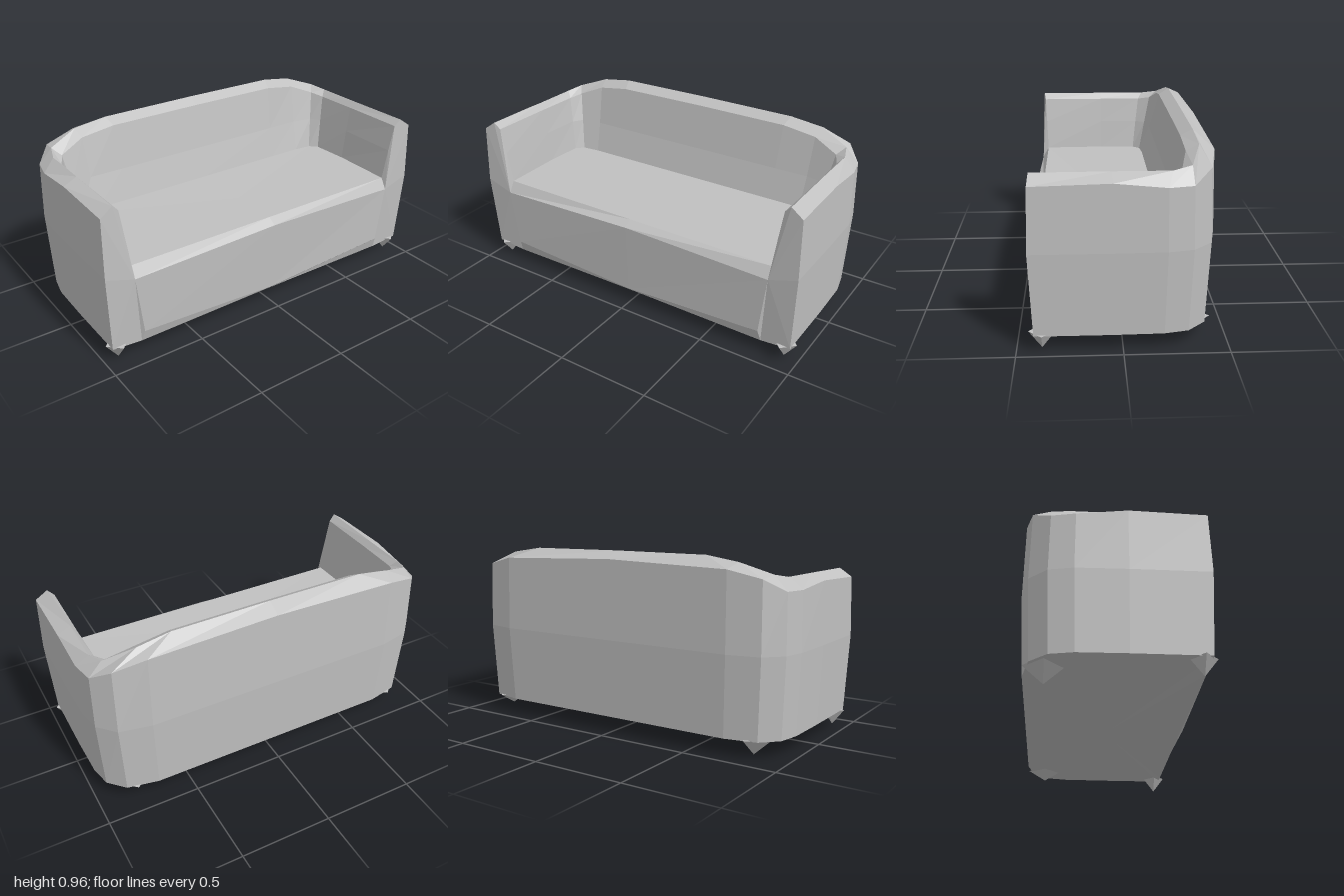
import * as THREE from 'three';

const fabric = new THREE.MeshStandardMaterial({ color: 0xc0c0c0 });
fabric.name = 'grey fabric';
fabric.flatShading = true;

const v = (x, y, z) => new THREE.Vector3(x, y, z);
const mirror = p => v(-p.x, p.y, p.z);

// Faceted mesh from a list of triangle corners
function facets(name, corners) {
  const geometry = new THREE.BufferGeometry().setFromPoints(corners);
  geometry.computeVertexNormals();
  const mesh = new THREE.Mesh(geometry, fabric);
  mesh.name = name;
  return mesh;
}

// Skin between successive cross-sections
function loft(sections) {
  const out = [];
  for (let s = 0; s < sections.length - 1; s++) {
    for (let r = 0; r < sections[s].length - 1; r++) {
      const a = sections[s][r], b = sections[s + 1][r];
      const c = sections[s + 1][r + 1], d = sections[s][r + 1];
      out.push(a, b, c, a, c, d);
    }
  }
  return out;
}

// Triangles from a centre to a closed ring
const fan = (centre, ring) =>
  ring.flatMap((p, i) => [centre, p, ring[(i + 1) % ring.length]]);

// Stations from the front of one arm to the middle of the back:
// outer x, z | ridge x, z | seat edge x, z | shoulder y, ridge y
const stations = [
  [0.985, 0.435, 0.915, 0.42, 0.83, 0.40, 0.815, 0.86],
  [0.985, 0.05, 0.91, 0.05, 0.84, 0.05, 0.825, 0.86],
  [0.98, -0.20, 0.91, -0.22, 0.83, -0.16, 0.80, 0.86],
  [0.955, -0.32, 0.88, -0.31, 0.79, -0.20, 0.80, 0.875],
  [0.87, -0.41, 0.72, -0.36, 0.69, -0.21, 0.86, 0.93],
  [0.70, -0.445, 0.54, -0.355, 0.50, -0.21, 0.90, 0.957],
  [0, -0.445, 0, -0.355, 0, -0.21, 0.92, 0.96],
];

// Cross-section of the wall, from the outer bottom over the top to the seat
function section([ox, oz, rx, rz, ix, iz, shoulder, top]) {
  const between = (t, y) => v(ix + (rx - ix) * t, y, iz + (rz - iz) * t);
  return [
    v(ox * 0.98, 0.085, oz * 0.96),
    v(ox, 0.5, oz),
    v(ox * 0.995, shoulder, oz * 0.98),
    v(rx, top, rz),
    between(0.6, top - 0.035),
    between(0.3, 0.68),
    v(ix, 0.51, iz),
  ];
}

export function createModel() {
  const sofa = new THREE.Group();
  sofa.name = 'sofa';

  // Back and arms as one U-shaped wall
  const half = stations.map(section);
  const wall = [...half, ...half.slice(0, -1).reverse().map(s => s.map(mirror))];
  sofa.add(facets('backAndArms', loft(wall)));

  // Seat
  sofa.add(facets('seat', fan(v(0, 0.505, 0.12), wall.map(s => s[6]))));

  // Front panel with a rounded seat edge
  const side = [v(0.8, 0.065, 0.41), v(0.79, 0.13, 0.43), v(0.83, 0.45, 0.435), half[0][6]];
  const middle = [v(0, 0.07, 0.41), v(0, 0.09, 0.43), v(0, 0.48, 0.445), v(0, 0.51, 0.40)];
  sofa.add(facets('frontPanel', loft([side.map(mirror), middle, side])));

  // Arm fronts
  const armRing = [side[1], side[0], ...half[0]];
  sofa.add(facets('leftArmFront', fan(side[2], armRing)));
  sofa.add(facets('rightArmFront', fan(mirror(side[2]), armRing.map(mirror).reverse())));

  // Underside
  const bottom = [side[0], ...wall.map(s => s[0]), mirror(side[0]), middle[0]];
  sofa.add(facets('underside', fan(v(0, 0.065, 0), bottom.reverse())));

  // Small pointed feet
  for (const sx of [-1, 1]) {
    for (const [name, x, z, tip, radius] of [
      ['frontFoot', 0.92, 0.38, 0.005, 0.065],
      ['backFoot', 0.80, -0.325, sx < 0 ? 0.0 : 0.03, 0.1],
    ]) {
      const height = 0.09 - tip;
      const foot = new THREE.Mesh(new THREE.ConeGeometry(radius, height, 4), fabric);
      foot.name = name;
      foot.rotation.x = Math.PI;
      foot.position.set(sx * x, tip + height / 2, z);
      sofa.add(foot);
    }
  }
  return sofa;
}
